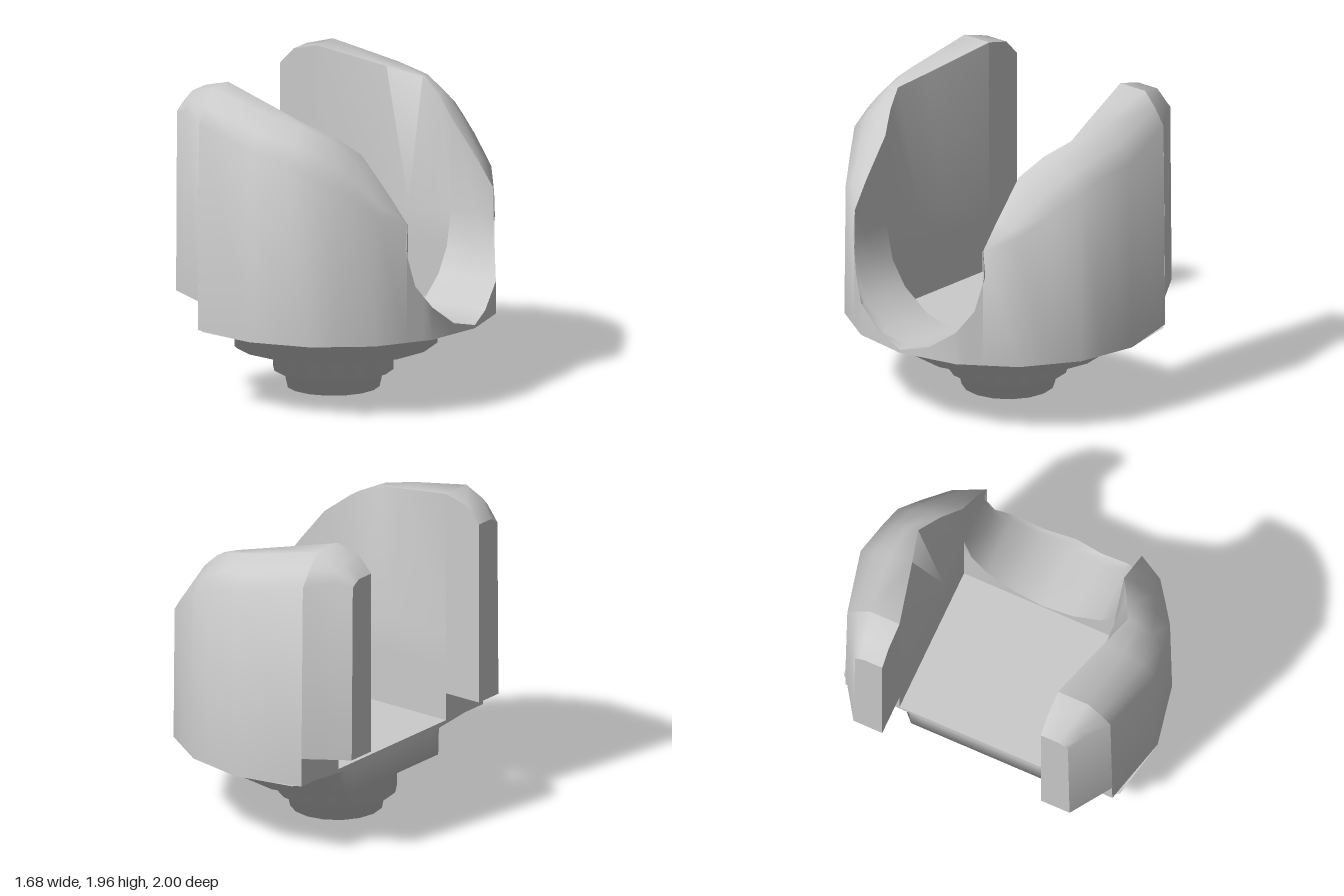
import * as THREE from 'three';
import { toCreasedNormals } from 'three/addons/utils/BufferGeometryUtils.js';

const AXIS = -0.16;   // x of the vertical axis of the round parts
const CUT = -0.59;    // flat that trims the round base
const STEP = Math.PI / 8;

// Half width of the sixteen-sided outer wall at a given x
function wallZ(x) {
  const u = Math.min(1, Math.abs(x - AXIS));
  for (let k = 0; k < 4; k++) {
    const c0 = Math.cos(k * STEP), c1 = Math.cos((k + 1) * STEP);
    if (u >= c1 - 1e-9) {
      return THREE.MathUtils.lerp(Math.sin(k * STEP), Math.sin((k + 1) * STEP), (c0 - u) / (c0 - c1));
    }
  }
  return 1;
}

// Slot sections as [z, y], from the straight wall down to the middle of the floor:
// square inside the fork, U-shaped at the lip
const BOX = [[0.53, 1.05], [0.53, 0.83], [0.53, 0.65], [0.53, 0.485], [0, 0.485]];
const LIP = [[0.53, 1.05], [0.48, 0.83], [0.38, 0.68], [0.2, 0.55], [0, 0.5]];
const LIP_X = 0.36;

function lipY(z) {
  for (let i = 0; i < LIP.length - 1; i++) {
    const [z0, y0] = LIP[i], [z1, y1] = LIP[i + 1];
    if (z >= z1) return THREE.MathUtils.lerp(y0, y1, Math.min(1, Math.max(0, (z0 - z) / (z0 - z1))));
  }
  return 0.5;
}

// Rounded top of an arm, from the outer shoulder over the crest to the inner edge
function armTop(x, top, shoulder, inner, crest) {
  const zo = wallZ(x) * 0.985;
  const mid = [crest + (zo - crest) * 0.55, shoulder + (top - shoulder) * 0.52];
  return [[zo, shoulder], mid, [crest, top], [inner, top]];
}

// Skin between sections of [z, y] points placed along x
function loft(stations, closed) {
  const n = stations[0].pts.length, pos = [], idx = [];
  for (const s of stations) for (const [z, y] of s.pts) pos.push(s.x, y, z);
  for (let j = 0; j < stations.length - 1; j++) {
    for (let i = 0; i < (closed ? n : n - 1); i++) {
      const k = (i + 1) % n, a = j * n + i, c = j * n + k;
      idx.push(a, a + n, c, c, a + n, c + n);
    }
  }
  const g = new THREE.BufferGeometry();
  g.setAttribute('position', new THREE.Float32BufferAttribute(pos, 3));
  g.setIndex(idx);
  return toCreasedNormals(g, 1.3);
}

// Flat end of a section, facing -x
function endCap({ x, pts }) {
  const shape = new THREE.Shape(pts.map(([z, y]) => new THREE.Vector2(z, y)));
  return new THREE.ShapeGeometry(shape).rotateY(-Math.PI / 2).translate(x, 0, 0);
}

const flip = (pts) => pts.map(([z, y]) => [-z, y]).reverse();

export function createModel() {
  const group = new THREE.Group();
  const material = new THREE.MeshStandardMaterial({ color: 0xcccccc, side: THREE.DoubleSide });
  const add = (name, geometry) => {
    const mesh = new THREE.Mesh(geometry, material);
    mesh.name = name;
    group.add(mesh);
  };

  // Arm tops: x, crest height, shoulder height, inner z, crest z
  const front = [CUT, 1.96, 1.77, 0.53, 0.73];
  const lipStart = [LIP_X, 1.62, 1.46, 0.54, 0.64];
  const inside = [
    front,
    [-0.16, 1.86, 1.67, 0.64, 0.78],
    [0.06, 1.81, 1.62, 0.7, 0.76],
    [0.22, 1.735, 1.55, 0.62, 0.7],
    lipStart,
  ];
  const outside = [
    lipStart,
    [0.547, 1.39, 1.31, 0.53, 0.58],
    [0.67, 1.22, 1.22, 0.52, 0.52],
  ];

  // Fork body: both arms and the slot floor in one skin
  const section = (t, slot) => ({
    x: t[0],
    half: [[wallZ(t[0]), 0.48], ...armTop(...t), ...slot],
  });
  const stations = [
    ...inside.map((t) => section(t, BOX)),
    ...outside.map((t) => section(t, LIP)),
  ];
  // Lip of the slot where it runs out through the round wall
  for (const x of [0.67, 0.7, 0.73, 0.764, 0.803, 0.84]) {
    const zo = wallZ(x), edge = [zo, lipY(zo)];
    const lip = LIP.map(([z, y]) => (z > zo ? edge : [z, y]));
    stations.push({ x, half: [[zo, 0.48], edge, edge, edge, edge, ...lip] });
  }
  const body = stations.map(({ x, half }) => ({ x, pts: [...half, ...flip(half.slice(0, -1))] }));
  add('forkBody', loft(body, false));
  add('forkBodyEnd', endCap(body[0]));

  // Arm extensions that overhang the flat
  const ext = [
    [-0.845, 1.82, 1.78, 0.53, 0.65],
    [-0.75, 1.92, 1.81, 0.53, 0.69],
    front,
  ].map((t) => ({ x: t[0], pts: [[wallZ(t[0]), 0.66], ...armTop(...t), [0.53, 0.66]] }));
  const mirrored = ext.map(({ x, pts }) => ({ x, pts: flip(pts) }));
  for (const [side, arm] of [['left', ext], ['right', mirrored]]) {
    add(side + 'ArmExtension', loft(arm, true));
    add(side + 'ArmEnd', endCap(arm[0]));
  }

  // Stepped hollow base, sixteen-sided, trimmed by the flat
  const profile = [
    [0, 0.3], [0.25, 0.3], [0.26, 0], [0.285, 0], [0.31, 0.11], [0.37, 0.11],
    [0.37, 0.28], [0.64, 0.285], [0.65, 0.455], [1, 0.48],
  ].map(([r, y]) => new THREE.Vector2(r, y));
  const base = new THREE.LatheGeometry(profile, 48);
  const p = base.attributes.position;
  for (let i = 0; i < p.count; i++) {
    const angle = Math.atan2(p.getZ(i), p.getX(i)) + Math.PI * 2;
    const k = Math.cos(STEP / 2) / Math.cos((angle % STEP) - STEP / 2);
    p.setX(i, Math.max(CUT, p.getX(i) * k + AXIS));
    p.setZ(i, p.getZ(i) * k);
  }
  add('steppedBase', toCreasedNormals(base, 1.65));

  return group;
}
